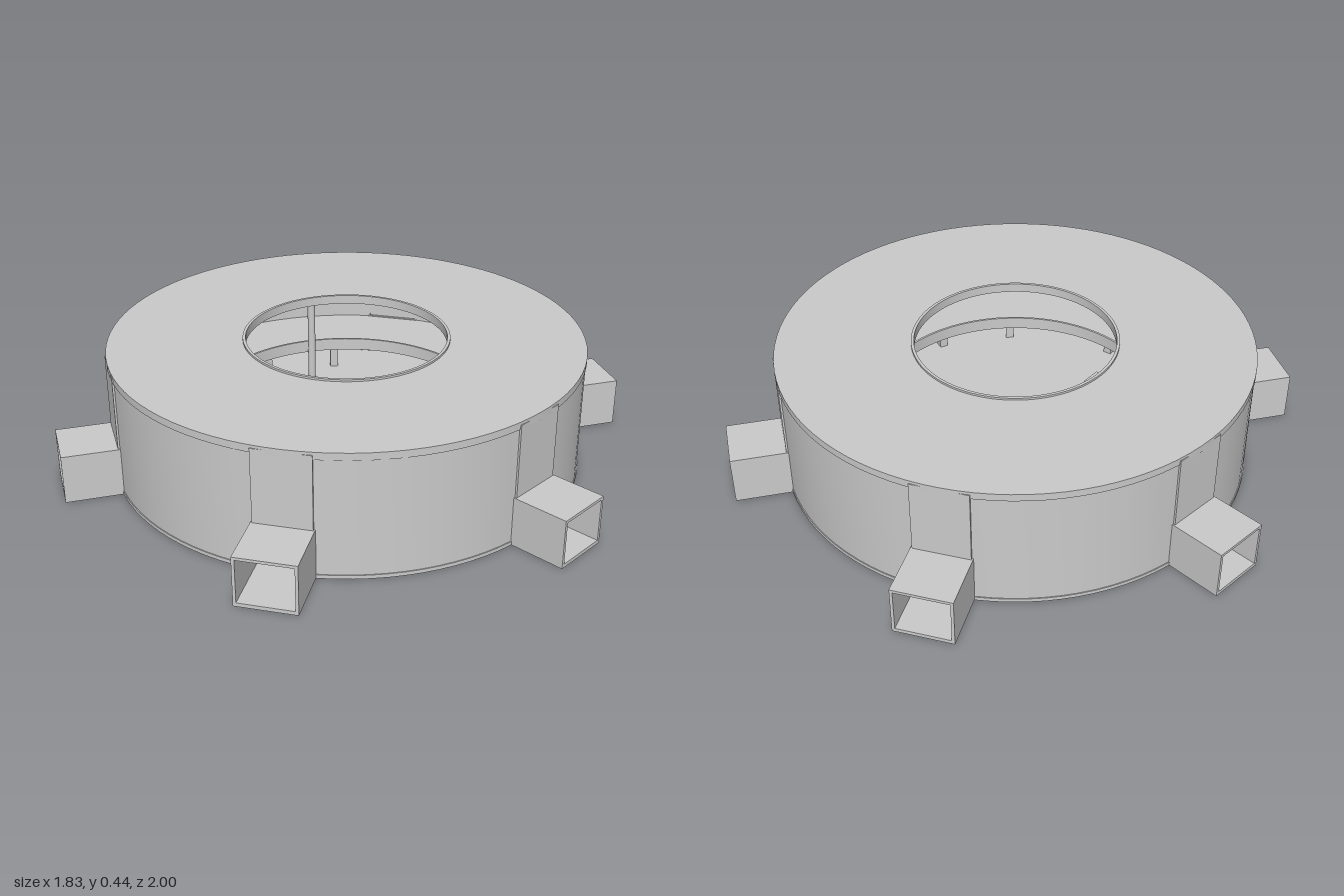
import * as THREE from 'three';
import { toCreasedNormals } from 'three/addons/utils/BufferGeometryUtils.js';

const deg = Math.PI / 180;
const material = new THREE.MeshStandardMaterial({ color: 0xcccccc });

function add(parent, name, geometry, x = 0, y = 0, z = 0) {
  const mesh = new THREE.Mesh(geometry, material);
  mesh.name = name;
  mesh.position.set(x, y, z);
  parent.add(mesh);
  return mesh;
}

// Upright extrusion of a plan shape between two heights
function slab(shape, y0, y1, segments) {
  const g = new THREE.ExtrudeGeometry(shape, { depth: y1 - y0, bevelEnabled: false, curveSegments: segments });
  g.rotateX(-Math.PI / 2);
  g.translate(0, y0, 0);
  return toCreasedNormals(g, 30 * deg);
}

// Full ring
function ring(inner, outer, y0, y1) {
  const shape = new THREE.Shape().absarc(0, 0, outer, 0, Math.PI * 2, false);
  shape.holes.push(new THREE.Path().absarc(0, 0, inner, 0, Math.PI * 2, true));
  return slab(shape, y0, y1, 48);
}

// Part of a ring between two azimuths in degrees, measured from +z towards +x
function arc(inner, outer, a0, a1, y0, y1) {
  const t0 = (a0 - 90) * deg, t1 = (a1 - 90) * deg;
  const shape = new THREE.Shape();
  shape.absarc(0, 0, outer, t0, t1, false);
  shape.absarc(0, 0, inner, t1, t0, true);
  shape.closePath();
  return slab(shape, y0, y1, Math.max(2, Math.ceil((a1 - a0) / 8)));
}

// Group turned so that its +z points along the azimuth
function spoke(parent, name, azimuth) {
  const group = new THREE.Group();
  group.name = name;
  group.rotation.y = azimuth * deg;
  parent.add(group);
  return group;
}

// Square open-ended corridor
function corridorGeometry() {
  const shape = new THREE.Shape();
  shape.moveTo(-0.1, 0);
  shape.lineTo(0.1, 0);
  shape.lineTo(0.1, 0.171);
  shape.lineTo(-0.1, 0.171);
  shape.closePath();
  const hole = new THREE.Path();
  hole.moveTo(-0.09, 0.013);
  hole.lineTo(-0.09, 0.161);
  hole.lineTo(0.09, 0.161);
  hole.lineTo(0.09, 0.013);
  hole.closePath();
  shape.holes.push(hole);
  const g = new THREE.ExtrudeGeometry(shape, { depth: 0.21, bevelEnabled: false });
  g.translate(0, 0, 0.79);
  return g;
}

export function createModel() {
  const model = new THREE.Group();
  model.name = 'roundHub';

  // Floor, roof with its opening, and the raised lip
  add(model, 'floor', new THREE.CylinderGeometry(0.815, 0.815, 0.013, 96), 0, 0.0065, 0);
  add(model, 'roof', ring(0.345, 0.815, 0.41, 0.435));
  add(model, 'openingLip', ring(0.345, 0.355, 0.435, 0.442));

  // Central platform with a small console
  add(model, 'platform', new THREE.CylinderGeometry(0.13, 0.13, 0.022, 64), 0, 0.024, 0);
  add(model, 'console', new THREE.BoxGeometry(0.028, 0.016, 0.024), 0, 0.043, 0.085);

  // Six corridors, the flat panels above them and the curved walls between
  const corridor = corridorGeometry();
  for (let i = 0; i < 6; i++) {
    const a = i * 60;
    const bay = spoke(model, 'corridorBay', a);
    add(bay, 'corridor', corridor);
    add(bay, 'panelAboveCorridor', new THREE.BoxGeometry(0.19, 0.255, 0.014), 0, 0.2975, 0.806);
    add(model, 'curvedWall', arc(0.8, 0.812, a + 6.6, a + 53.4, 0.013, 0.412));

    // Short posts carrying the gallery
    for (const offset of [18, 42]) {
      const post = spoke(model, 'galleryPost', a + offset);
      add(post, 'post', new THREE.BoxGeometry(0.03, 0.15, 0.03), 0, 0.086, 0.66);
    }
  }

  // Gallery with a low parapet, left open at the head of the stairs
  add(model, 'gallery', ring(0.5, 0.802, 0.161, 0.168));
  add(model, 'parapet', arc(0.495, 0.503, -137, 209, 0.155, 0.2));

  // Curved stairs down from the gallery
  const steps = 13;
  for (let i = 0; i < steps; i++) {
    const a = 217 + i * 4.6;
    const top = 0.168 - i * 0.0115;
    add(model, 'stairTread', arc(0.415, 0.492, a, a + 4.6, top - 0.011, top));
  }

  // Tall pillars from floor to roof
  for (const a of [30, 150]) {
    const pillar = spoke(model, 'pillarBay', a);
    add(pillar, 'pillar', new THREE.CylinderGeometry(0.014, 0.014, 0.4, 16), 0, 0.212, 0.47);
  }
  return model;
}
